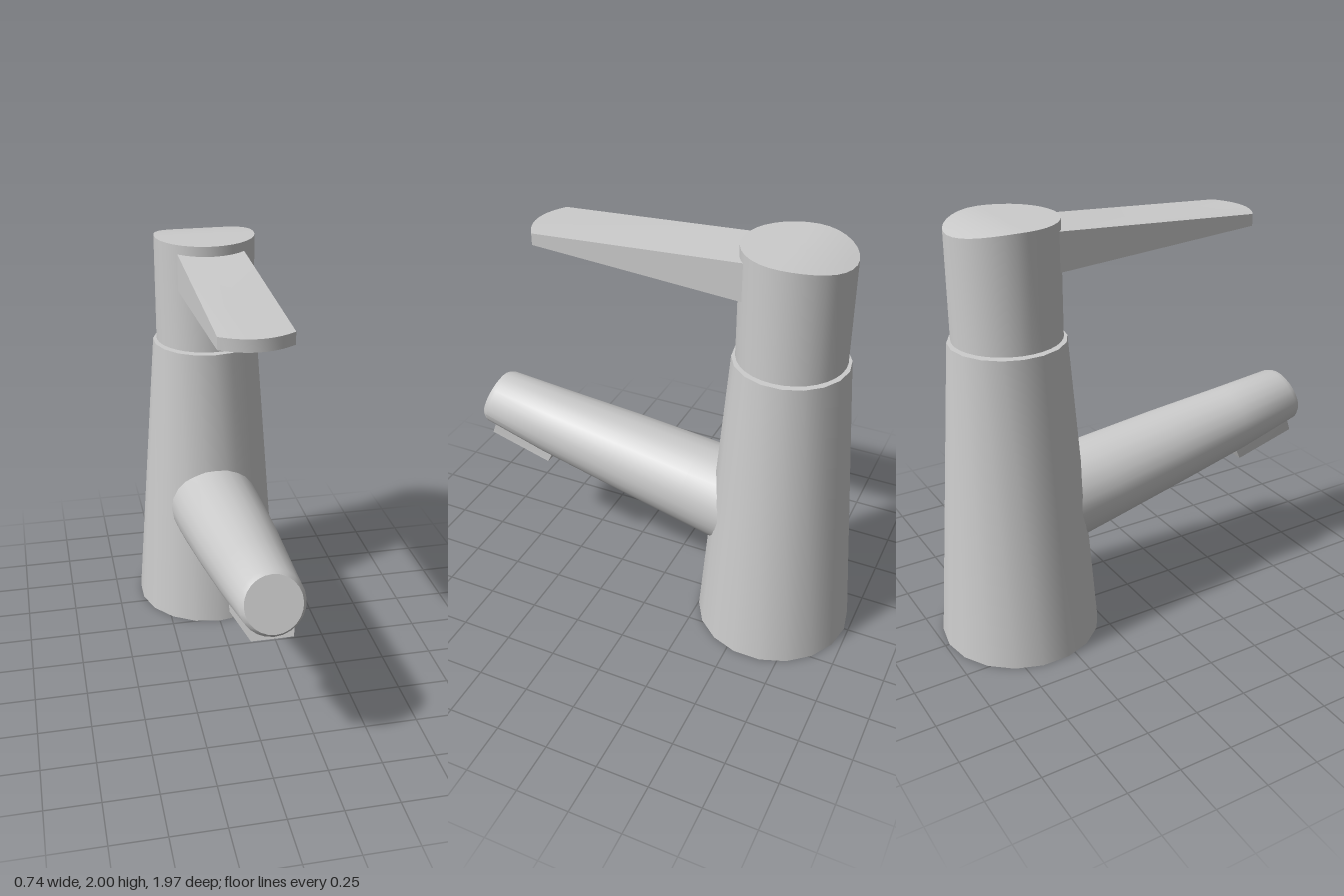
import * as THREE from 'three';
import { toCreasedNormals } from 'three/addons/utils/BufferGeometryUtils.js';

const AXIS_Z = -0.605; // z of the upright column

function addMesh(group, name, geometry, crease = 0.6) {
  const material = new THREE.MeshStandardMaterial({ color: 0xcccccc });
  const mesh = new THREE.Mesh(toCreasedNormals(geometry, crease), material);
  mesh.name = name;
  group.add(mesh);
  return mesh;
}

// Moves every vertex of a geometry by a rule
function reshape(geometry, rule) {
  const p = geometry.attributes.position;
  const v = new THREE.Vector3();
  for (let i = 0; i < p.count; i++) {
    rule(v.fromBufferAttribute(p, i));
    p.setXYZ(i, v.x, v.y, v.z);
  }
  return geometry;
}

function lathe(points, sides) {
  return new THREE.LatheGeometry(points.map(([r, y]) => new THREE.Vector2(r, y)), sides);
}

// Lofts ellipses, each given by its top and bottom point in side view and its half width
function loftEllipses(sections, sides) {
  const mid = ({ top, bottom }) => [(top[0] + bottom[0]) / 2, (top[1] + bottom[1]) / 2];
  const pole = (s) => ({ top: mid(s), bottom: mid(s), half: 0 });
  const rings = [pole(sections[0]), ...sections, pole(sections[sections.length - 1])];
  const positions = [];
  const indices = [];
  rings.forEach((s, i) => {
    const [cz, cy] = mid(s);
    for (let j = 0; j < sides; j++) {
      const angle = (j / sides) * Math.PI * 2;
      const c = Math.cos(angle);
      positions.push(s.half * Math.sin(angle), cy + (s.top[1] - cy) * c, cz + (s.top[0] - cz) * c);
      if (i === rings.length - 1) continue;
      const a = i * sides + j;
      const n = i * sides + ((j + 1) % sides);
      indices.push(a, a + sides, n, n, a + sides, n + sides);
    }
  });
  const geometry = new THREE.BufferGeometry();
  geometry.setAttribute('position', new THREE.Float32BufferAttribute(positions, 3));
  geometry.setIndex(indices);
  return geometry;
}

export function createModel() {
  const group = new THREE.Group();
  group.name = 'tap';

  // Tapered column
  const body = lathe([[0, 0], [0.375, 0], [0.262, 1.47], [0, 1.47]], 18);
  addMesh(group, 'body', body).position.z = AXIS_Z;

  // Turning head, its top falling away in a curve at the back
  const r = 0.245;
  const profile = [[0, 1.48], [r, 1.48], [r, 2]];
  for (let k = 5; k >= 0; k--) profile.push([(r * k) / 6, 2]);
  const head = reshape(lathe(profile, 32), (v) => {
    if (v.y > 1.9 && v.z < 0) v.y -= 0.035 * (v.z / r) ** 2;
  });
  addMesh(group, 'head', head).position.z = AXIS_Z;

  // Lever, cut in plan with a rounded end and thinned towards the tip
  const plan = new THREE.Shape();
  plan.moveTo(-0.16, -0.5);
  plan.lineTo(0.16, -0.5);
  plan.lineTo(0.16, 0.57);
  plan.quadraticCurveTo(0, 0.685, -0.16, 0.57);
  plan.closePath();
  const lever = new THREE.ExtrudeGeometry(plan, { depth: 1, bevelEnabled: false, curveSegments: 10 });
  lever.rotateX(Math.PI / 2);
  reshape(lever, (v) => {
    const t = Math.min((v.z + 0.41) / 0.98, 1);
    v.y = v.y > -0.5
      ? THREE.MathUtils.lerp(1.955, 1.897, t)
      : THREE.MathUtils.lerp(1.78, 1.842, t);
  });
  addMesh(group, 'lever', lever);

  // Spout, rising and narrowing to a bevelled tip; points are [z, y]
  const spout = loftEllipses([
    { top: [-0.55, 0.838], bottom: [-0.45, 0.387], half: 0.228 },
    { top: [-0.2, 0.877], bottom: [-0.12, 0.465], half: 0.217 },
    { top: [0.18, 0.922], bottom: [0.24, 0.547], half: 0.198 },
    { top: [0.56, 0.962], bottom: [0.63, 0.635], half: 0.17 },
    { top: [0.87, 0.997], bottom: [0.965, 0.727], half: 0.144 },
    { top: [0.9, 0.99], bottom: [0.985, 0.75], half: 0.126 },
  ], 24);
  addMesh(group, 'spout', spout);

  // Water outlet wedge under the tip, wider towards the back
  const outlet = reshape(new THREE.BoxGeometry(2, 2, 2), (v) => {
    const front = v.z > 0;
    const top = v.y > 0;
    v.x *= front ? (top ? 0.105 : 0.092) : 0.115;
    v.y = front ? (top ? 0.8 : 0.692) : (top ? 0.7 : 0.622);
    v.z = front ? (top ? 0.885 : 0.93) : (top ? 0.56 : 0.597);
  });
  addMesh(group, 'outlet', outlet, 0.2);

  return group;
}
